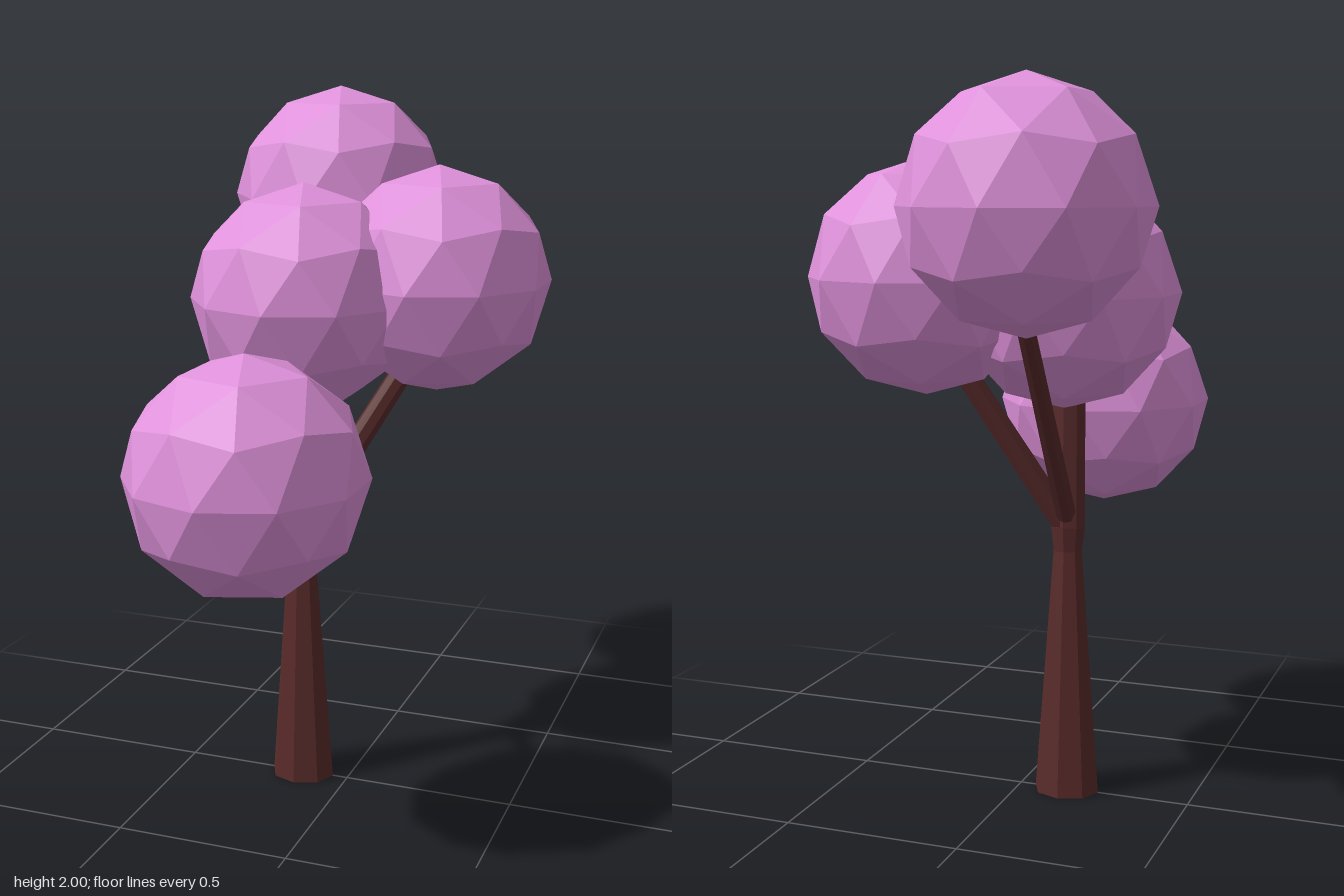
import * as THREE from 'three';

const bark = new THREE.MeshStandardMaterial({ color: 0x5a2b2b, flatShading: true });
const blossom = new THREE.MeshStandardMaterial({ color: 0xe092dc, flatShading: true });

function addMesh(group, name, geometry, material) {
  const mesh = new THREE.Mesh(geometry, material);
  mesh.name = name;
  group.add(mesh);
  return mesh;
}

// Tapered straight limb between two points
function addLimb(group, name, from, to, r0, r1) {
  const a = new THREE.Vector3(...from);
  const dir = new THREE.Vector3(...to).sub(a);
  const length = dir.length();
  const geometry = new THREE.CylinderGeometry(r1, r0, length, 8).translate(0, length / 2, 0);
  const limb = addMesh(group, name, geometry, bark);
  limb.position.copy(a);
  limb.quaternion.setFromUnitVectors(new THREE.Vector3(0, 1, 0), dir.normalize());
}

export function createModel() {
  const tree = new THREE.Group();
  tree.name = 'tree';

  // Trunk: tapers to a neck, flares at the fork, then rises into the crown
  const profile = [[0, 0], [0.095, 0], [0.042, 0.71], [0.051, 0.78], [0.049, 1.2], [0, 1.2]]
    .map(([r, y]) => new THREE.Vector2(r, y));
  const trunk = addMesh(tree, 'trunk', new THREE.LatheGeometry(profile, 8), bark);
  trunk.scale.z = 0.88;
  trunk.position.x = -0.14;

  // Branches
  addLimb(tree, 'frontBranch', [-0.14, 0.85, 0], [-0.06, 0.945, 0.25], 0.022, 0.018);
  addLimb(tree, 'backBranch', [-0.14, 0.79, 0], [-0.19, 1.42, -0.51], 0.03, 0.024);
  addLimb(tree, 'sideBranch', [-0.14, 0.77, 0], [0.16, 1.3, -0.16], 0.036, 0.032);

  // Foliage: faceted balls with a corner pointing straight up
  const ball = new THREE.IcosahedronGeometry(0.32, 1);
  ball.rotateZ(-Math.atan(2 / (1 + Math.sqrt(5))));
  const crowns = {
    frontFoliage: [-0.085, 1.075, 0.525],
    middleFoliage: [-0.14, 1.44, -0.035],
    sideFoliage: [0.2, 1.485, -0.205],
    backFoliage: [-0.205, 1.68, -0.525],
  };
  for (const [name, centre] of Object.entries(crowns)) {
    addMesh(tree, name, ball, blossom).position.set(...centre);
  }
  return tree;
}
